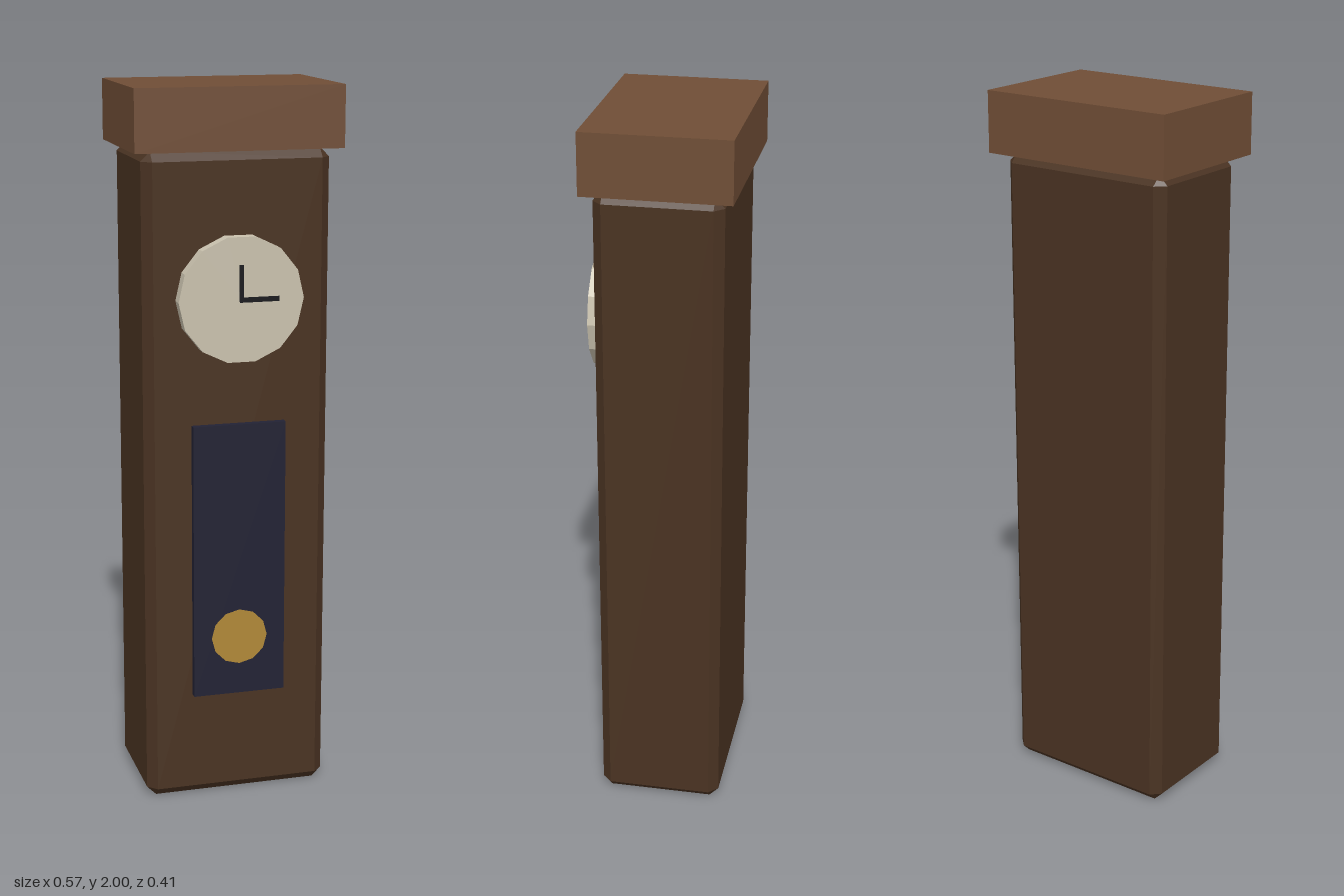
import * as THREE from 'three';
import { ConvexGeometry } from 'three/addons/geometries/ConvexGeometry.js';

const mat = (name, color) => {
  const m = new THREE.MeshStandardMaterial({ color, flatShading: true });
  m.name = name;
  return m;
};

// Box with every edge cut at 45 degrees: each corner becomes three points
function chamferedBox(w, h, d, c) {
  const points = [];
  for (const sx of [-1, 1]) for (const sy of [-1, 1]) for (const sz of [-1, 1]) {
    const x = w / 2, y = h / 2, z = d / 2;
    for (const [px, py, pz] of [[x, y - c, z - c], [x - c, y, z - c], [x - c, y - c, z]])
      points.push(new THREE.Vector3(sx * px, sy * py, sz * pz));
  }
  return new ConvexGeometry(points);
}

// Low-poly disc facing +z
const disc = (r, depth, sides) =>
  new THREE.CylinderGeometry(r, r, depth, sides, 1, false, Math.PI / 2).rotateX(Math.PI / 2);

export function createModel() {
  const group = new THREE.Group();
  group.name = 'grandfatherClock';

  const darkWood = mat('dark wood', 0x4a3322);
  const lightWood = mat('light wood', 0x704e36);
  const ivory = mat('ivory', 0xcac2ae);
  const glass = mat('dark glass', 0x222234);
  const brass = mat('brass', 0xb08838);
  const black = mat('black', 0x15151a);

  const add = (name, geometry, material, x, y, z) => {
    const mesh = new THREE.Mesh(geometry, material);
    mesh.name = name;
    mesh.position.set(x, y, z);
    group.add(mesh);
  };

  // Case and overhanging cap
  add('case', chamferedBox(0.52, 1.832, 0.344, 0.026), darkWood, 0, 0.916, -0.005);
  add('cap', new THREE.BoxGeometry(0.574, 0.168, 0.4), lightWood, 0, 1.916, -0.006);

  // Dial with its two hands
  add('dial', disc(0.174, 0.05, 14), ivory, 0, 1.437, 0.178);
  add('hourHand', new THREE.BoxGeometry(0.012, 0.1, 0.002), black, 0, 1.482, 0.203);
  add('minuteHand', new THREE.BoxGeometry(0.11, 0.014, 0.002), black, 0.05, 1.437, 0.203);

  // Door window with the pendulum bob
  add('window', new THREE.BoxGeometry(0.262, 0.784, 0.03), glass, 0, 0.698, 0.172);
  add('pendulumBob', disc(0.08, 0.002, 12), brass, 0, 0.475, 0.187);

  return group;
}
